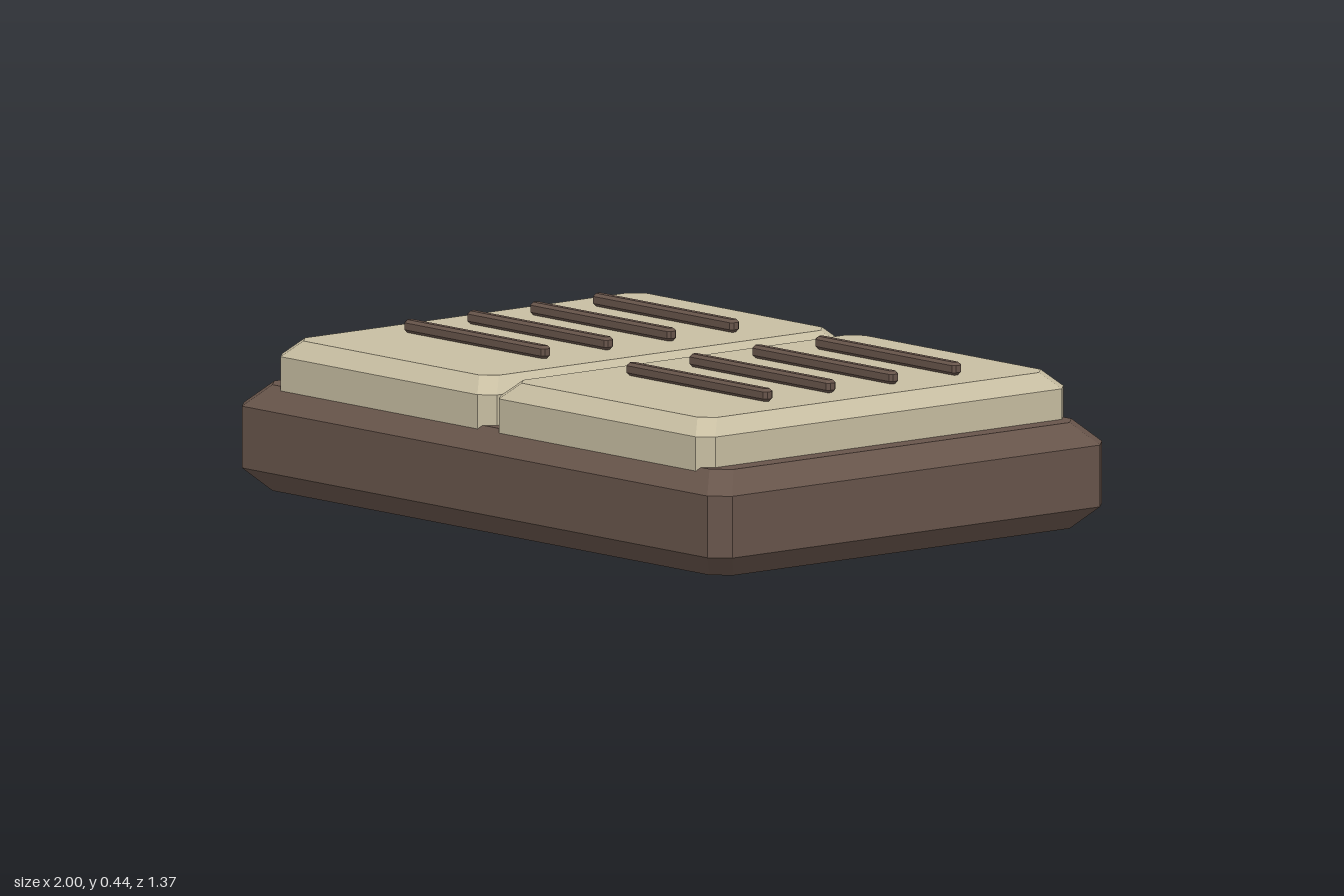
import * as THREE from 'three';

// Eight-cornered ring: rectangle with clipped corners, counter-clockwise seen from above
function ring(hx, hz, clip, y) {
  const a = hx - clip, b = hz - clip;
  return [[hx, b], [hx, -b], [a, -hz], [-a, -hz], [-hx, -b], [-hx, b], [-a, hz], [a, hz]]
    .map(([x, z]) => [x, y, z]);
}

// Slab through a stack of rings, closed at both ends
function slab(rings) {
  const pos = [];
  const tri = (a, b, c) => pos.push(...a, ...b, ...c);
  for (let r = 0; r < rings.length - 1; r++) {
    const lo = rings[r], hi = rings[r + 1];
    for (let i = 0; i < 8; i++) {
      const j = (i + 1) % 8;
      tri(lo[i], lo[j], hi[j]);
      tri(lo[i], hi[j], hi[i]);
    }
  }
  const bottom = rings[0], top = rings[rings.length - 1];
  for (let i = 1; i < 7; i++) {
    tri(top[0], top[i], top[i + 1]);
    tri(bottom[0], bottom[i + 1], bottom[i]);
  }
  const g = new THREE.BufferGeometry();
  g.setAttribute('position', new THREE.Float32BufferAttribute(pos, 3));
  g.computeVertexNormals();
  return g;
}

export function createModel() {
  const model = new THREE.Group();
  model.name = 'openBook';
  const leather = new THREE.MeshStandardMaterial({ color: 0x68554b });
  leather.name = 'brownLeather';
  const paper = new THREE.MeshStandardMaterial({ color: 0xc8bea2 });
  paper.name = 'parchment';

  const add = (name, geometry, material, x = 0, y = 0, z = 0) => {
    const mesh = new THREE.Mesh(geometry, material);
    mesh.name = name;
    mesh.position.set(x, y, z);
    model.add(mesh);
  };

  // Thick cover, bevelled above and below
  add('cover', slab([
    ring(0.94, 0.63, 0.045, 0),
    ring(1, 0.687, 0.047, 0.06),
    ring(1, 0.687, 0.047, 0.226),
    ring(0.94, 0.63, 0.045, 0.285),
  ]), leather);

  // Page block, bevelled on top
  const pages = slab([
    ring(0.44, 0.64, 0.037, 0.275),
    ring(0.44, 0.64, 0.037, 0.367),
    ring(0.397, 0.597, 0.037, 0.41),
  ]);

  // Raised text line with chamfered edges
  const line = slab([
    ring(0.28, 0.008, 0.004, 0),
    ring(0.2875, 0.016, 0.008, 0.008),
    ring(0.2875, 0.016, 0.008, 0.027),
    ring(0.28, 0.008, 0.004, 0.035),
  ]);

  for (const [side, s] of [['right', -1], ['left', 1]]) {
    add(side + 'Pages', pages, paper, s * 0.447);
    for (let i = 0; i < 4; i++) {
      add(side + 'TextLine' + (i + 1), line, leather, s * 0.455, 0.41, -0.366 + i * 0.219);
    }
  }
  return model;
}
